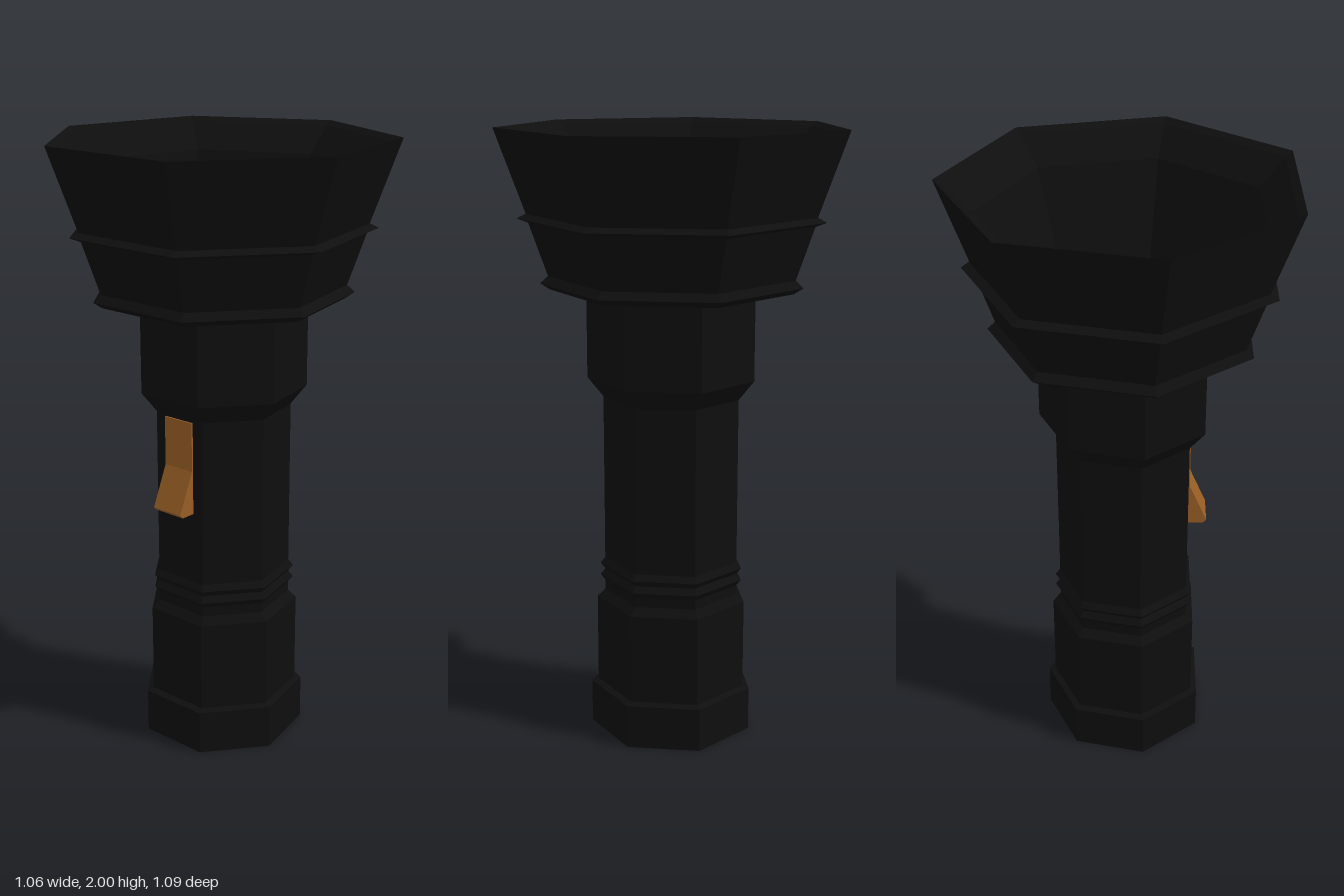
import * as THREE from 'three';

const SIDES = 7;

// Seven-sided turned part with one corner pointing along +x; points are [radius, height]
function turned(name, points, material, x) {
  const profile = points.map(([r, y]) => new THREE.Vector2(r, y));
  const mesh = new THREE.Mesh(new THREE.LatheGeometry(profile, SIDES, Math.PI / 2), material);
  mesh.name = name;
  mesh.position.x = x;
  return mesh;
}

// Sharp raised ridge on a wall going from radius r0 to r1
const ridge = (y, r0, tip, r1, half) => [[r0, y - half], [tip, y], [r1, y + half]];

export function createModel() {
  const model = new THREE.Group();
  model.name = 'flashlight';

  const black = new THREE.MeshStandardMaterial({ color: 0x0e0e0e, flatShading: true });
  black.name = 'black casing';
  const orange = new THREE.MeshStandardMaterial({ color: 0x9a5f26, flatShading: true });
  orange.name = 'orange switch';

  // End cap
  model.add(turned('endCap', [[0, 0], [0.274, 0], [0.274, 0.147], [0.252, 0.155]], black, -0.02));

  // Grip, grip ridges and barrel
  model.add(turned('barrel', [
    [0.252, 0.155], [0.252, 0.455], [0.225, 0.48],
    ...ridge(0.532, 0.225, 0.241, 0.225, 0.02),
    ...ridge(0.573, 0.225, 0.241, 0.225, 0.02),
    [0.225, 1.145], [0.276, 1.21], [0.276, 1.482],
  ], black, -0.02));

  // Flared head: outer cone with two ridges, rim, then the hollow reflector
  model.add(turned('head', [
    [0.276, 1.482], [0.395, 1.497],
    [0.425, 1.517], [0.4, 1.54],
    ...ridge(1.722, 0.458, 0.494, 0.465, 0.014),
    [0.56, 2], [0.535, 1.985], [0.45, 1.9], [0.32, 1.55], [0, 1.55],
  ], black, -0.024));

  // Switch: flat plate with a wedge-shaped thumb end, lying on the front facet
  const width = 0.115;
  const shape = new THREE.Shape([
    [-0.01, 0.83], [0.05, 0.83], [0.062, 0.842], [0.005, 0.975], [0.005, 1.137], [-0.01, 1.137],
  ].map(([out, y]) => new THREE.Vector2(out, y)));
  const geometry = new THREE.ExtrudeGeometry(shape, { depth: width, bevelEnabled: false });
  geometry.translate(0, 0, -width / 2).rotateY(-Math.PI / 2);
  const slider = new THREE.Mesh(geometry, orange);
  slider.name = 'switch';
  const turn = Math.PI / 14;
  const apothem = 0.225 * Math.cos(Math.PI / SIDES);
  slider.position.set(-0.02 + apothem * Math.sin(turn), 0, apothem * Math.cos(turn));
  slider.rotation.y = turn;
  model.add(slider);

  return model;
}
